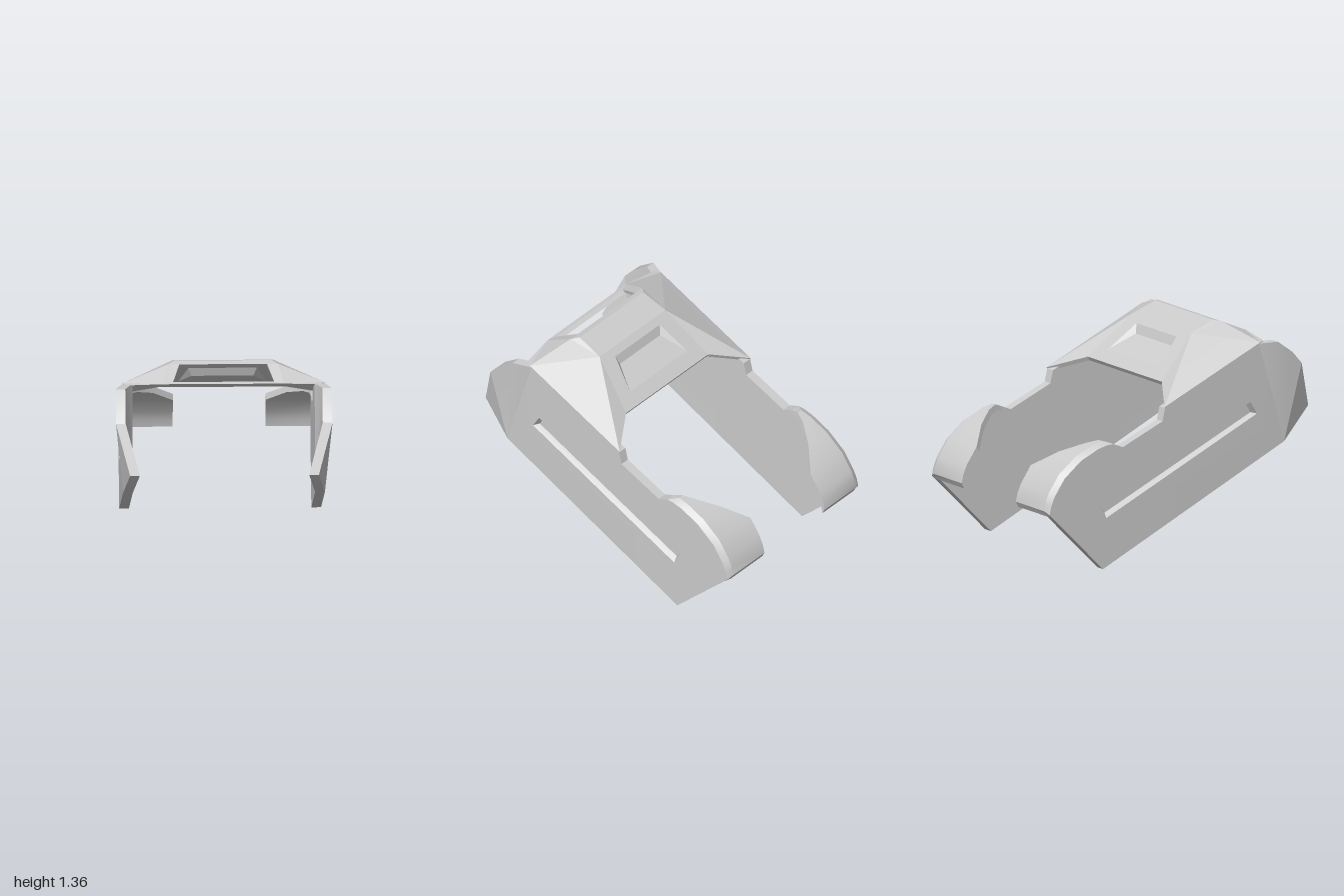
import * as THREE from 'three';
import { toCreasedNormals } from 'three/addons/utils/BufferGeometryUtils.js';

const material = new THREE.MeshStandardMaterial({ color: 0xcccccc });
const fromTop = p => [p[0], -p[2]];
const fromSide = p => [-p[2], p[1]];

// Closed solid between an outer skin and its matching inner skin; faces are
// polygons of outer points, turned to face the given projection direction.
function shell(name, outer, inner, faces, project, mirror = 1, crease = 0.1) {
  const pos = [], tris = [], edges = new Set();
  const emit = (a, b, c) => {
    for (const p of mirror > 0 ? [a, b, c] : [a, c, b]) pos.push(p[0] * mirror, p[1], p[2]);
  };
  for (const f of faces) {
    for (let i = 1; i < f.length - 1; i++) {
      const t = [f[0], f[i], f[i + 1]];
      const [a, b, c] = t.map(k => project(outer[k]));
      const area = (b[0] - a[0]) * (c[1] - a[1]) - (b[1] - a[1]) * (c[0] - a[0]);
      tris.push(area < 0 ? [t[0], t[2], t[1]] : t);
    }
  }
  for (const [a, b, c] of tris) {
    emit(outer[a], outer[b], outer[c]);
    emit(inner[a], inner[c], inner[b]);
    for (const e of [[a, b], [b, c], [c, a]]) edges.add(e.join());
  }
  // Rim walls along every open edge
  for (const e of edges) {
    const [a, b] = e.split(',').map(Number);
    if (edges.has(b + ',' + a)) continue;
    emit(outer[b], outer[a], inner[a]);
    emit(outer[b], inner[a], inner[b]);
  }
  const geo = new THREE.BufferGeometry();
  geo.setAttribute('position', new THREE.Float32BufferAttribute(pos, 3));
  const mesh = new THREE.Mesh(toCreasedNormals(geo, crease), material);
  mesh.name = name;
  return mesh;
}

// Rear hook curve: z, y, inner x
const arc = [
  [-0.51, 0.785, 0.56], [-0.56, 0.80, 0.545], [-0.63, 0.785, 0.51], [-0.76, 0.73, 0.41],
  [-0.885, 0.635, 0.285], [-0.96, 0.53, 0.285], [-0.985, 0.475, 0.285], [-0.998, 0.42, 0.285],
];
const lowArc = arc.map(([z, y], i) => i ? [z + 0.015, y - 0.02] : [z + 0.01, y - 0.005]);

function sidePlate(mirror) {
  // z, y, sideways flare
  const main = [[0.60, 1.255], [-0.11, 0.95], [-0.13, 0.87], [-0.43, 0.75], ...lowArc, [-0.58, 0], [0.79, 0.61]];
  const flare = [[1, 0.80, -0.04], [0.89, 1.10, 0.045], [0.82, 1.18, 0.045], [0.71, 1.26, 0.045]];
  const slot = [[0.535, 0.895], [0.585, 0.815], [-0.555, 0.32], [-0.605, 0.41]];
  const slotFloor = [[0.525, 0.875], [0.56, 0.82], [-0.545, 0.345], [-0.58, 0.40]];
  const all = [...main, ...slot, ...flare, ...slotFloor];
  const n = main.length, f0 = n + 4, s0 = n + 8;
  const outer = all.map(([z, y, dx = 0], i) => [i >= s0 ? 0.585 : 0.62 + dx, y, z]);
  const inner = all.map(([z, y, dx = 0]) => [0.56 + dx, y, z]);
  const v = list => list.map(([z, y]) => new THREE.Vector2(-z, y));
  const faces = THREE.ShapeUtils.triangulateShape(v(main), [v(slot)]);
  // Bent front end, fanned from the lower fold corner
  faces.push([n - 1, f0, f0 + 1], [n - 1, f0 + 1, f0 + 2], [n - 1, f0 + 2, f0 + 3], [n - 1, f0 + 3, 0]);
  // Recessed slot walls and floor
  for (let i = 0; i < 4; i++) {
    const j = (i + 1) % 4;
    faces.push([n + i, n + j, s0 + j, s0 + i]);
  }
  faces.push([s0, s0 + 1, s0 + 2, s0 + 3]);
  return shell('sidePlate', outer, inner, faces, fromSide, mirror, 0.35);
}

function rearHook(mirror) {
  const outer = [], faces = [];
  arc.forEach(([z, y, x], i) => {
    outer.push([0.62, lowArc[i][1], lowArc[i][0]], [0.58, y, z], [Math.min(x, 0.57), y, z]);
    if (i === 0) return;
    for (const k of [i * 3, i * 3 + 1]) faces.push([k - 3, k - 2, k + 1, k]);
  });
  const inner = outer.map(([x, y, z], i) => [x, y - (i % 3 ? 0.035 : 0.02), z + 0.018]);
  return shell('rearHook', outer, inner, faces, fromTop, mirror, 0.5);
}

function bridge() {
  const half = [
    [0.37, 1.28, 0.68], [0.60, 1.262, 0.65],                        // front bar
    [0.31, 1.285, 0.655], [0.27, 1.35, 0.52],                       // opening
    [0.34, 1.35, 0.52], [0.30, 1.36, 0.48], [0.62, 1.262, 0.61],    // rim and shoulder
    [0.31, 1.30, 0.31], [0.39, 1.05, 0.03], [0.62, 0.957, -0.115],  // crown and back edge
    [0.21, 1.264, 0.27], [0.27, 1.112, 0.10], [0.19, 1.205, 0.25],  // recess
  ];
  const n = half.length;
  const outer = [...half, ...half.map(([x, y, z]) => [-x, y, z])];
  const inner = outer.map(([x, y, z]) => [x, y - (z > 0.6 ? 0.012 : 0.025), z + (z > 0.4 ? -0.025 : 0.015)]);
  const sides = [
    [0, 1, 6, 4], [2, 0, 4, 3], [3, 4, 5], [4, 6, 7], [4, 7, 5],
    [6, 9, 7], [7, 9, 8], [7, 8, 11, 10], [10, 11, 12],
  ];
  const middle = [[0, 2], [3, 5], [5, 7], [7, 10], [10, 12], [12, 11], [11, 8]];
  const faces = [
    ...sides, ...sides.map(f => f.map(i => i + n)),
    ...middle.map(([a, b]) => [a, b, b + n, a + n]),
  ];
  return shell('bridge', outer, inner, faces, fromTop);
}

export function createModel() {
  const model = new THREE.Group();
  model.name = 'slottedSaddleFrame';
  model.add(bridge());
  for (const s of [1, -1]) {
    const side = new THREE.Group();
    side.name = s > 0 ? 'leftSide' : 'rightSide';
    side.add(sidePlate(s), rearHook(s));
    model.add(side);
  }
  return model;
}
